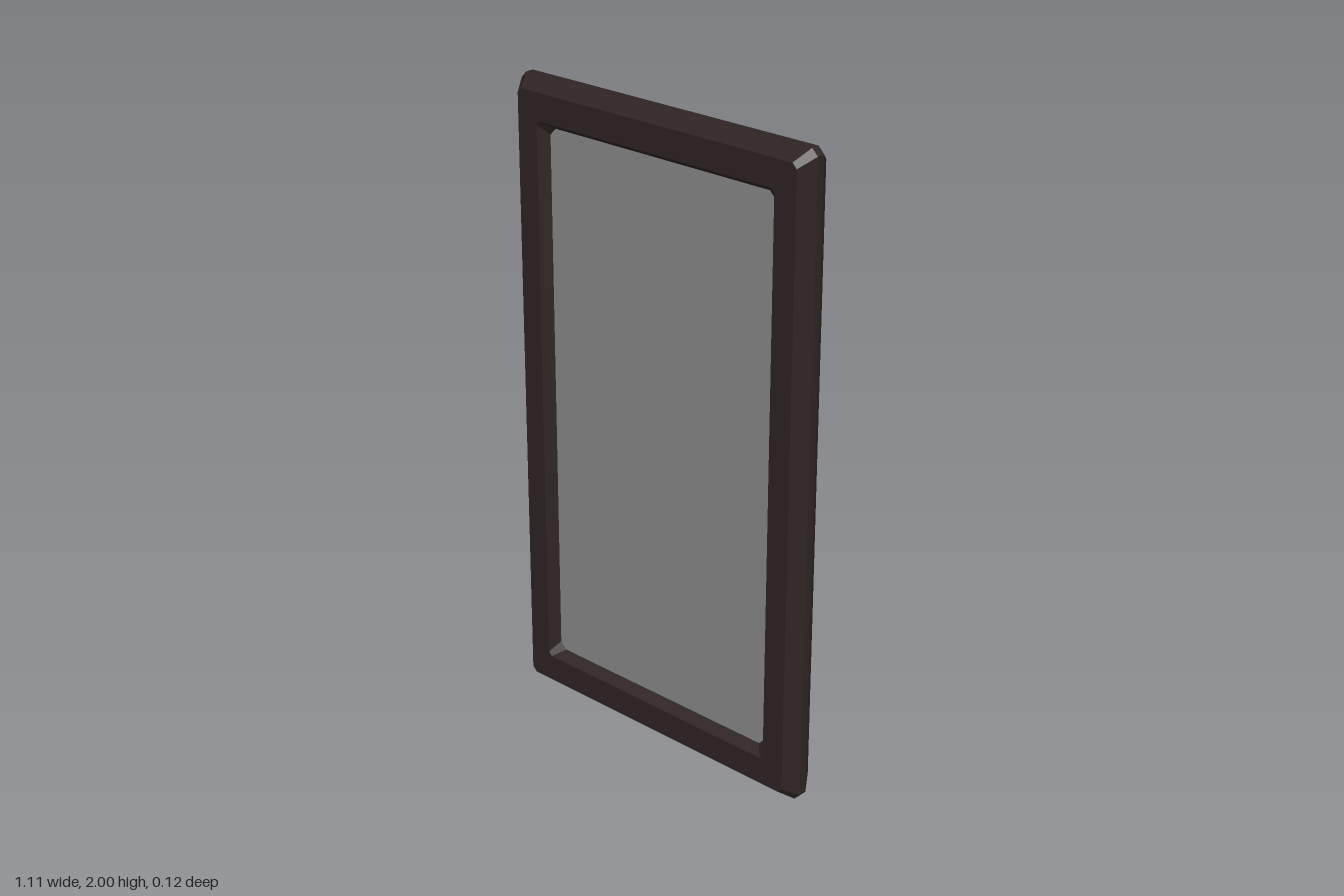
import * as THREE from 'three';

// Octagonal outline (rectangle with cut corners), counter-clockwise seen from the front
function outline(w, h, c) {
  return [
    [w, -h + c], [w, h - c], [w - c, h], [-w + c, h],
    [-w, h - c], [-w, -h + c], [-w + c, -h], [w - c, -h],
  ];
}

// Joins successive rings { w, h, c, z } with flat quads
function loft(rings) {
  const pos = [];
  const loops = rings.map(r => outline(r.w, r.h, r.c).map(([x, y]) => [x, y, r.z]));
  for (let k = 0; k < loops.length - 1; k++) {
    const a = loops[k], b = loops[k + 1];
    for (let i = 0; i < 8; i++) {
      const j = (i + 1) % 8;
      pos.push(...a[i], ...a[j], ...b[j], ...a[i], ...b[j], ...b[i]);
    }
  }
  const g = new THREE.BufferGeometry();
  g.setAttribute('position', new THREE.Float32BufferAttribute(pos, 3));
  g.computeVertexNormals();
  return g;
}

// Flat panel filling one ring
function panel(r) {
  const shape = new THREE.Shape(outline(r.w, r.h, r.c).map(p => new THREE.Vector2(...p)));
  return new THREE.ShapeGeometry(shape);
}

export function createModel() {
  const group = new THREE.Group();
  const frameMat = new THREE.MeshStandardMaterial({ name: 'dark brown frame', color: 0x2e2423, flatShading: true });
  const glassMat = new THREE.MeshStandardMaterial({ name: 'grey glass', color: 0x8a8a8a });

  const add = (name, geometry, material) => {
    const mesh = new THREE.Mesh(geometry, material);
    mesh.name = name;
    mesh.position.y = 1;
    group.add(mesh);
    return mesh;
  };

  const back = { w: 0.525, h: 0.965, c: 0.015, z: -0.06 };
  const glass = { w: 0.428, h: 0.858, c: 0.022, z: 0.026 };

  // Bevelled frame: back edge, rim, front edge, opening, glass seat
  add('frame', loft([
    back,
    { w: 0.556, h: 1, c: 0.02, z: -0.013 },
    { w: 0.556, h: 1, c: 0.02, z: 0.013 },
    { ...back, z: 0.06 },
    { w: 0.45, h: 0.88, c: 0.012, z: 0.06 },
    glass,
  ]), frameMat);

  // Solid back, turned to face -z
  const backPanel = add('backPanel', panel(back), frameMat);
  backPanel.rotation.y = Math.PI;
  backPanel.position.z = back.z;

  // Recessed glass pane
  add('glassPane', panel(glass), glassMat).position.z = glass.z;

  return group;
}
